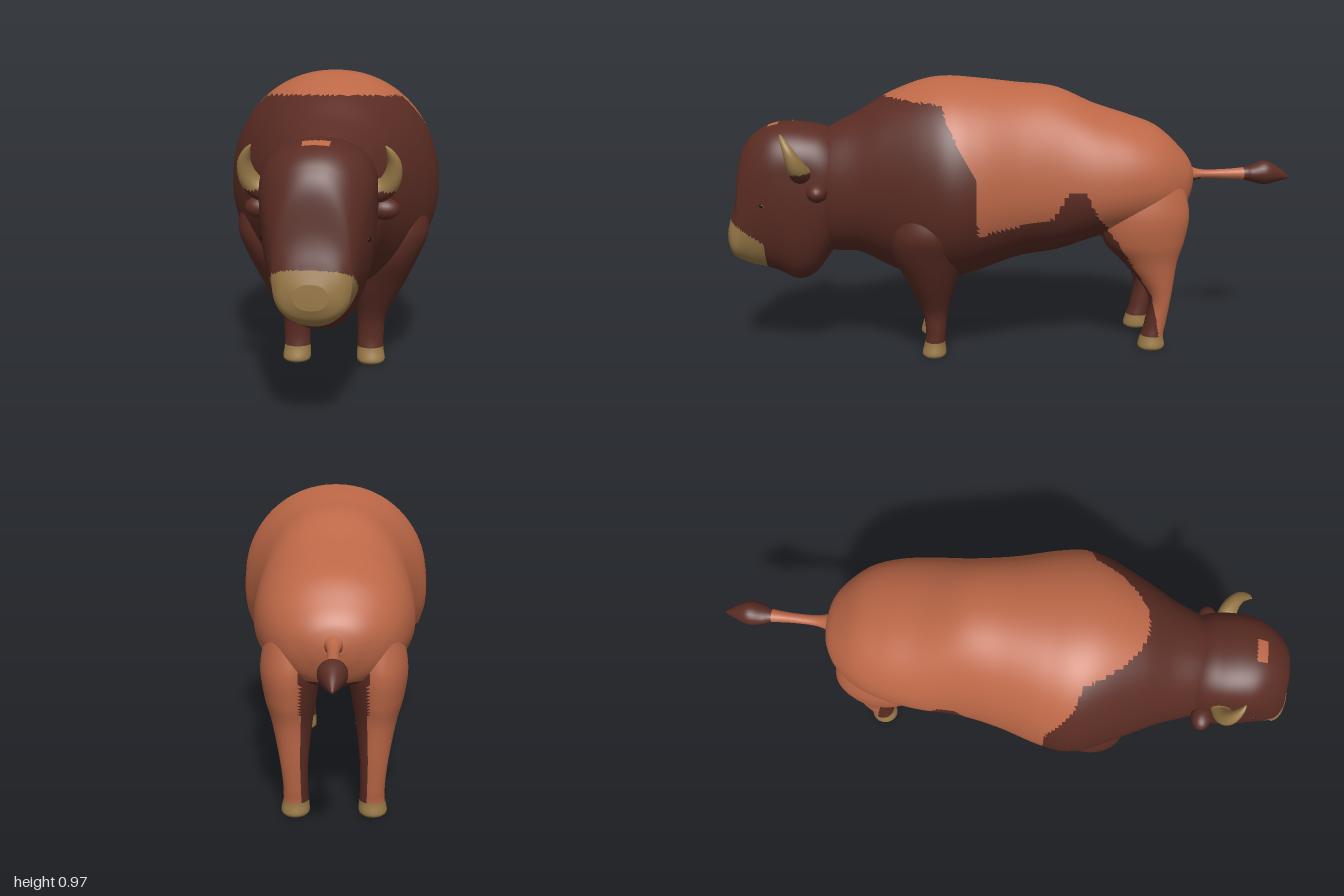
import * as THREE from 'three';

const mat = (name, color) => {
  const m = new THREE.MeshStandardMaterial({ color });
  m.name = name;
  return m;
};

// Catmull-Rom sample of a table of rows, u in 0..1
function sampleRows(rows, u) {
  const f = u * (rows.length - 1);
  const i = Math.min(Math.floor(f), rows.length - 2);
  const t = f - i;
  const at = (k) => rows[Math.max(0, Math.min(rows.length - 1, k))];
  const [a, b, c, d] = [at(i - 1), at(i), at(i + 1), at(i + 2)];
  return b.map((_, k) => b[k] + 0.5 * t * (c[k] - a[k] + t * (2 * a[k] - 5 * b[k] + 4 * c[k] - d[k]
    + t * (3 * (b[k] - c[k]) + d[k] - a[k]))));
}

// Closed smooth loft; pick(x, y, z) gives the material index of each face
function loft(name, rows, ring, steps, sides, materials, pick) {
  const pos = [];
  const faces = [];
  for (let i = 0; i <= steps; i++) {
    const row = sampleRows(rows, i / steps);
    for (let j = 0; j < sides; j++) pos.push(...ring(row, (j / sides) * Math.PI * 2));
  }
  for (let i = 0; i < steps; i++) {
    for (let j = 0; j < sides; j++) {
      const a = i * sides + j;
      const b = i * sides + (j + 1) % sides;
      faces.push([a, b, a + sides], [b, b + sides, a + sides]);
    }
  }
  // end caps
  for (const start of [0, steps * sides]) {
    const centre = [0, 0, 0];
    for (let j = 0; j < sides; j++) for (let k = 0; k < 3; k++) centre[k] += pos[(start + j) * 3 + k] / sides;
    const c = pos.length / 3;
    pos.push(...centre);
    for (let j = 0; j < sides; j++) {
      const a = start + j;
      const b = start + (j + 1) % sides;
      faces.push(start ? [a, b, c] : [b, a, c]);
    }
  }
  // turn all faces outwards
  const p = (i) => new THREE.Vector3().fromArray(pos, i * 3);
  let volume = 0;
  for (const [a, b, c] of faces) volume += p(a).dot(p(b).cross(p(c)));
  if (volume < 0) faces.forEach((f) => f.reverse());

  const buckets = materials.map(() => []);
  for (const f of faces) {
    const m = f.map(p).reduce((s, v) => s.add(v), new THREE.Vector3()).divideScalar(3);
    buckets[pick(m.x, m.y, m.z)].push(...f);
  }
  const geo = new THREE.BufferGeometry();
  geo.setAttribute('position', new THREE.Float32BufferAttribute(pos, 3));
  geo.setIndex(buckets.flat());
  let start = 0;
  buckets.forEach((b, i) => {
    if (b.length) geo.addGroup(start, b.length, i);
    start += b.length;
  });
  geo.computeVertexNormals();
  const mesh = new THREE.Mesh(geo, materials);
  mesh.name = name;
  return mesh;
}

// Egg-shaped ring across z: [z, bottom, top, half width, height of widest point]
const eggRing = (power) => ([z, bottom, top, w, mid], a) => {
  const bend = (v) => Math.sign(v) * Math.abs(v) ** power;
  const c = bend(Math.cos(a));
  return [w * bend(Math.sin(a)), mid + c * (c > 0 ? top - mid : mid - bottom), z];
};

// Lower edge of the light coat, as [z, y] from tail to shoulder
const coatEdge = [[-0.505, 0], [-0.47, 0.2], [-0.3, 0.46], [-0.26, 0.5], [-0.21, 0.6], [-0.15, 0.6],
  [-0.1, 0.51], [-0.02, 0.5], [0.155, 0.47], [0.165, 0.67], [0.25, 0.83], [0.265, 0.89], [0.48, 0.91]];
function inCoat(y, z) {
  if (z < coatEdge[0][0]) return true;
  for (let i = 1; i < coatEdge.length; i++) {
    const [z0, y0] = coatEdge[i - 1];
    const [z1, y1] = coatEdge[i];
    if (z <= z1) return y > y0 + (y1 - y0) * (z - z0) / (z1 - z0);
  }
  return false;
}

export function createModel() {
  const group = new THREE.Group();
  group.name = 'bison';
  const light = mat('light coat', 0xbd6847);
  const dark = mat('dark coat', 0x5a2c23);
  const tan = mat('tan horn and muzzle', 0x9a7a48);
  const black = mat('pupil', 0x1c100c);
  const coat = [dark, light, tan];

  // Body with hump, rump and neck
  group.add(loft('body', [
    [-0.635, 0.58, 0.62, 0.03, 0.6], [-0.62, 0.53, 0.67, 0.09, 0.61], [-0.58, 0.47, 0.72, 0.155, 0.6],
    [-0.5, 0.44, 0.79, 0.215, 0.61], [-0.4, 0.42, 0.83, 0.25, 0.61], [-0.28, 0.4, 0.87, 0.265, 0.6],
    [-0.14, 0.355, 0.93, 0.265, 0.6], [0, 0.335, 0.947, 0.29, 0.6], [0.14, 0.29, 0.963, 0.33, 0.6],
    [0.24, 0.265, 0.97, 0.342, 0.6], [0.33, 0.26, 0.957, 0.315, 0.6], [0.45, 0.31, 0.91, 0.255, 0.6],
    [0.55, 0.36, 0.85, 0.205, 0.6], [0.65, 0.37, 0.8, 0.165, 0.6], [0.72, 0.42, 0.75, 0.12, 0.6],
  ], eggRing(0.95), 130, 120, coat,
  (x, y, z) => (inCoat(y, z) && !(y < 0.48 && Math.abs(x) < 0.1) ? 1 : 0)));

  // Head with brow, beard and pale muzzle
  group.add(loft('head', [
    [0.58, 0.45, 0.75, 0.13, 0.62], [0.65, 0.36, 0.798, 0.16, 0.64], [0.71, 0.285, 0.813, 0.165, 0.67],
    [0.77, 0.266, 0.82, 0.166, 0.67], [0.83, 0.295, 0.815, 0.16, 0.66], [0.88, 0.313, 0.795, 0.145, 0.62],
    [0.92, 0.322, 0.76, 0.128, 0.56], [0.95, 0.335, 0.7, 0.112, 0.49], [0.965, 0.343, 0.58, 0.104, 0.44],
    [0.985, 0.36, 0.51, 0.085, 0.43], [1, 0.39, 0.46, 0.045, 0.425],
  ], eggRing(0.87), 100, 96, coat, (x, y, z) => {
    if (z > 0.87 && y < 0.505 - (1 - z) * 0.7) return 2;
    return y > 0.78 && Math.abs(x) < 0.04 && z > 0.815 && z < 0.85 ? 1 : 0;
  }));

  // Tail with dark tuft
  group.add(loft('tail', [
    [-0.58, 0.56, 0.67, 0.055, 0.615], [-0.63, 0.58, 0.64, 0.03, 0.61], [-0.68, 0.593, 0.625, 0.019, 0.61],
    [-0.76, 0.59, 0.625, 0.018, 0.608], [-0.83, 0.585, 0.63, 0.024, 0.608], [-0.86, 0.578, 0.637, 0.035, 0.608],
    [-0.91, 0.567, 0.653, 0.042, 0.61], [-0.96, 0.577, 0.63, 0.024, 0.603], [-1, 0.586, 0.596, 0.004, 0.591],
  ], eggRing(1), 60, 24, coat,
  (x, y, z) => (z < -0.83 || (z > -0.67 && y < 0.6) ? 0 : 1)));

  for (const s of [1, -1]) {
    const side = s > 0 ? 'left' : 'right';
    // Leg rows: [y, x, x radius, z, z radius]
    const legRing = ([y, x, rx, z, rz], a) => [s * (x + rx * Math.cos(a)), y, z + rz * Math.sin(a)];

    group.add(loft(`${side}FrontLeg`, [
      [0.54, 0.2, 0.1, 0.3, 0.12], [0.46, 0.2, 0.112, 0.31, 0.13], [0.38, 0.177, 0.105, 0.315, 0.12],
      [0.28, 0.145, 0.09, 0.305, 0.085], [0.17, 0.127, 0.05, 0.295, 0.046], [0.1, 0.124, 0.044, 0.293, 0.036],
      [0.05, 0.123, 0.044, 0.297, 0.036], [0.012, 0.125, 0.047, 0.3, 0.042], [0, 0.125, 0.038, 0.3, 0.034],
    ], legRing, 64, 40, coat, (x, y) => (y < 0.055 ? 2 : 0)));

    group.add(loft(`${side}HindLeg`, [
      [0.62, 0.13, 0.08, -0.44, 0.13], [0.5, 0.138, 0.095, -0.44, 0.155], [0.4, 0.138, 0.085, -0.44, 0.142],
      [0.32, 0.133, 0.066, -0.465, 0.095], [0.2, 0.127, 0.046, -0.503, 0.042], [0.1, 0.123, 0.04, -0.492, 0.038],
      [0.05, 0.123, 0.042, -0.48, 0.041], [0.012, 0.125, 0.046, -0.477, 0.048], [0, 0.125, 0.038, -0.477, 0.04],
    ], legRing, 64, 40, coat,
    (x, y, z) => (y < 0.05 ? 2 : inCoat(y, z) && Math.abs(x) > 0.105 ? 1 : 0)));

    // Curved horn, rows: [x, y, z, radius, ring tilt]
    group.add(loft(`${side}Horn`, [
      [0.13, 0.665, 0.73, 0.034, 1.5], [0.175, 0.668, 0.735, 0.033, 1.8], [0.203, 0.7, 0.745, 0.028, 2.5],
      [0.211, 0.745, 0.762, 0.02, 3.1], [0.2, 0.78, 0.78, 0.011, 3.5], [0.187, 0.8, 0.79, 0.002, 3.7],
    ], ([x, y, z, r, tilt], a) => [
      s * (x + r * Math.cos(a) * Math.cos(tilt)), y + r * Math.cos(a) * Math.sin(tilt), z + r * Math.sin(a),
    ], 30, 24, coat, (x, y) => (y < 0.668 ? 0 : 2)));

    // Ear, eye and pupil
    const blob = (name, material, position, scale) => {
      const mesh = new THREE.Mesh(new THREE.SphereGeometry(1, 20, 14), material);
      mesh.name = side + name;
      mesh.position.set(s * position[0], position[1], position[2]);
      mesh.scale.set(...scale);
      group.add(mesh);
    };
    blob('Ear', dark, [0.18, 0.602, 0.68], [0.046, 0.032, 0.034]);
    blob('Eye', tan, [0.136, 0.555, 0.862], [0.014, 0.012, 0.014]);
    blob('Pupil', black, [0.14, 0.555, 0.866], [0.012, 0.008, 0.01]);
  }
  return group;
}
